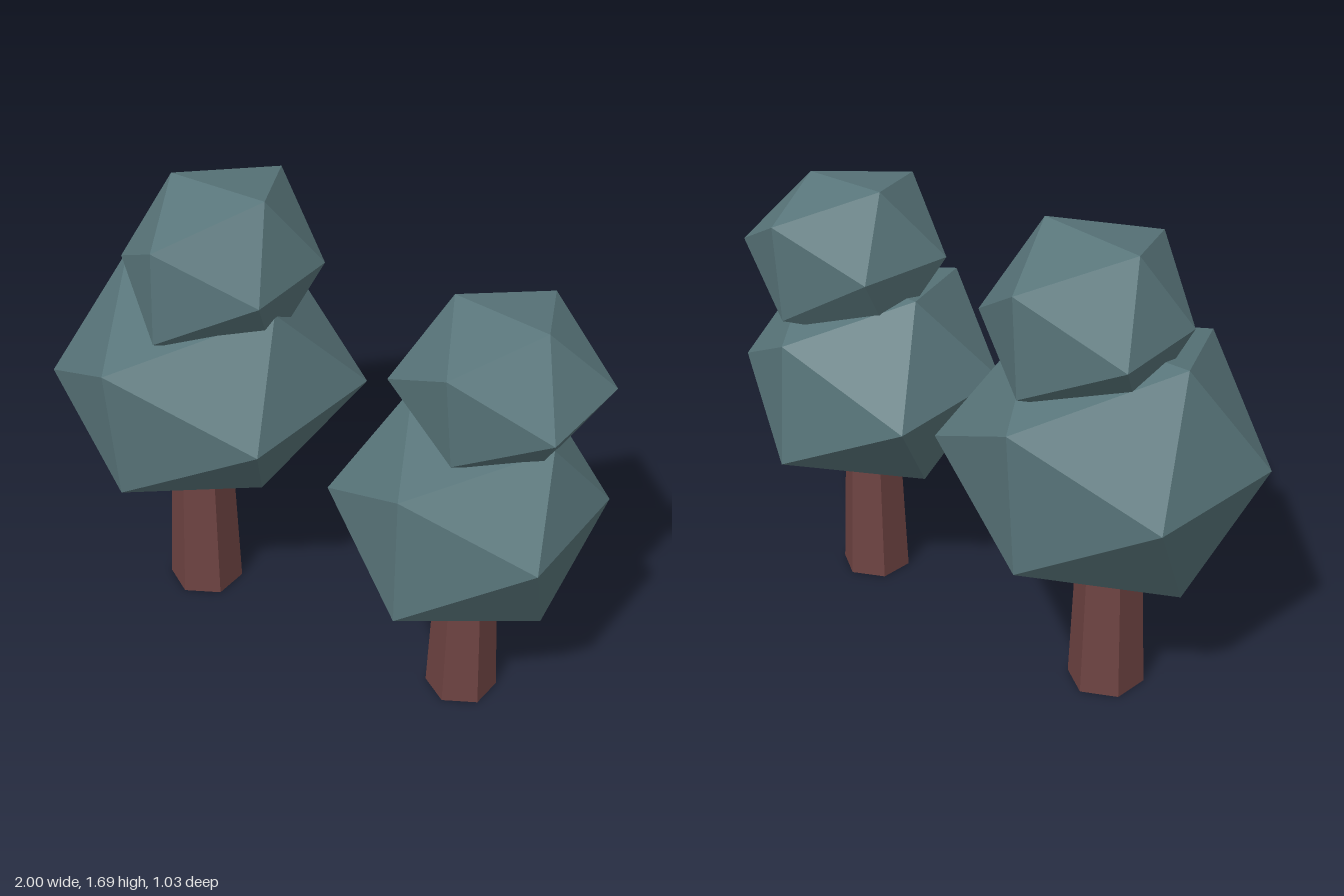
import * as THREE from 'three';
import { ConvexGeometry } from 'three/addons/geometries/ConvexGeometry.js';

const leaf = new THREE.MeshStandardMaterial({ name: 'dusty teal leaves', color: 0x5a777c, flatShading: true });
const bark = new THREE.MeshStandardMaterial({ name: 'red brown bark', color: 0x6e4342, flatShading: true });

// Uneven icosahedron: three crossing four-cornered sections,
// xy at depth z, yz at width x, and xz at height y.
function crown(name, [x, y, z], { xy, yz, xz }) {
  const corners = [
    ...xy.map(([a, b]) => new THREE.Vector3(a, b, z)),
    ...yz.map(([a, b]) => new THREE.Vector3(x, a, b)),
    ...xz.map(([a, b]) => new THREE.Vector3(a, y, b)),
  ];
  const mesh = new THREE.Mesh(new ConvexGeometry(corners), leaf);
  mesh.name = name;
  return mesh;
}

// Tapered six-sided trunk reaching into the crown
function trunk(x, z, top, bottom, height) {
  const mesh = new THREE.Mesh(new THREE.CylinderGeometry(top, bottom, height, 6), bark);
  mesh.position.set(x, height / 2, z);
  mesh.name = 'trunk';
  return mesh;
}

function tree(name, ...parts) {
  const group = new THREE.Group();
  group.name = name;
  group.add(...parts);
  return group;
}

export function createModel() {
  const model = new THREE.Group();
  model.name = 'pair of trees';

  model.add(tree('tallTree',
    trunk(-0.545, 0, 0.112, 0.136, 0.6),
    crown('lowerCrown', [-0.545, 0.905, 0], {
      xy: [[-0.85, 1.325], [-0.2, 1.29], [-0.86, 0.475], [-0.27, 0.525]],
      yz: [[1.18, 0.515], [0.66, 0.455], [1.18, -0.517], [0.65, -0.48]],
      xz: [[-1, 0.27], [-1, -0.29], [-0.07, 0.285], [-0.035, -0.325]],
    }),
    crown('upperCrown', [-0.47, 1.395, -0.04], {
      xy: [[-0.665, 1.675], [-0.265, 1.69], [-0.68, 1.12], [-0.25, 1.11]],
      yz: [[1.59, 0.32], [1.24, 0.33], [1.6, -0.412], [1.23, -0.39]],
      xz: [[-0.765, 0.13], [-0.81, -0.255], [-0.16, 0.14], [-0.16, -0.24]],
    })));

  model.add(tree('shortTree',
    trunk(0.583, -0.04, 0.104, 0.127, 0.55),
    crown('lowerCrown', [0.583, 0.843, -0.04], {
      xy: [[0.34, 1.18], [0.89, 1.15], [0.31, 0.47], [0.885, 0.43]],
      yz: [[1.08, 0.41], [0.6, 0.42], [1.07, -0.455], [0.61, -0.485]],
      xz: [[0.17, 0.21], [0.12, -0.33], [0.997, 0.213], [0.98, -0.287]],
    }),
    crown('upperCrown', [0.655, 1.3, -0.08], {
      xy: [[0.465, 1.57], [0.82, 1.547], [0.43, 1.02], [0.81, 1.02]],
      yz: [[1.49, 0.262], [1.137, 0.215], [1.485, -0.412], [1.12, -0.385]],
      xz: [[0.34, 0.115], [0.37, -0.25], [0.98, 0.13], [0.98, -0.27]],
    })));

  return model;
}
